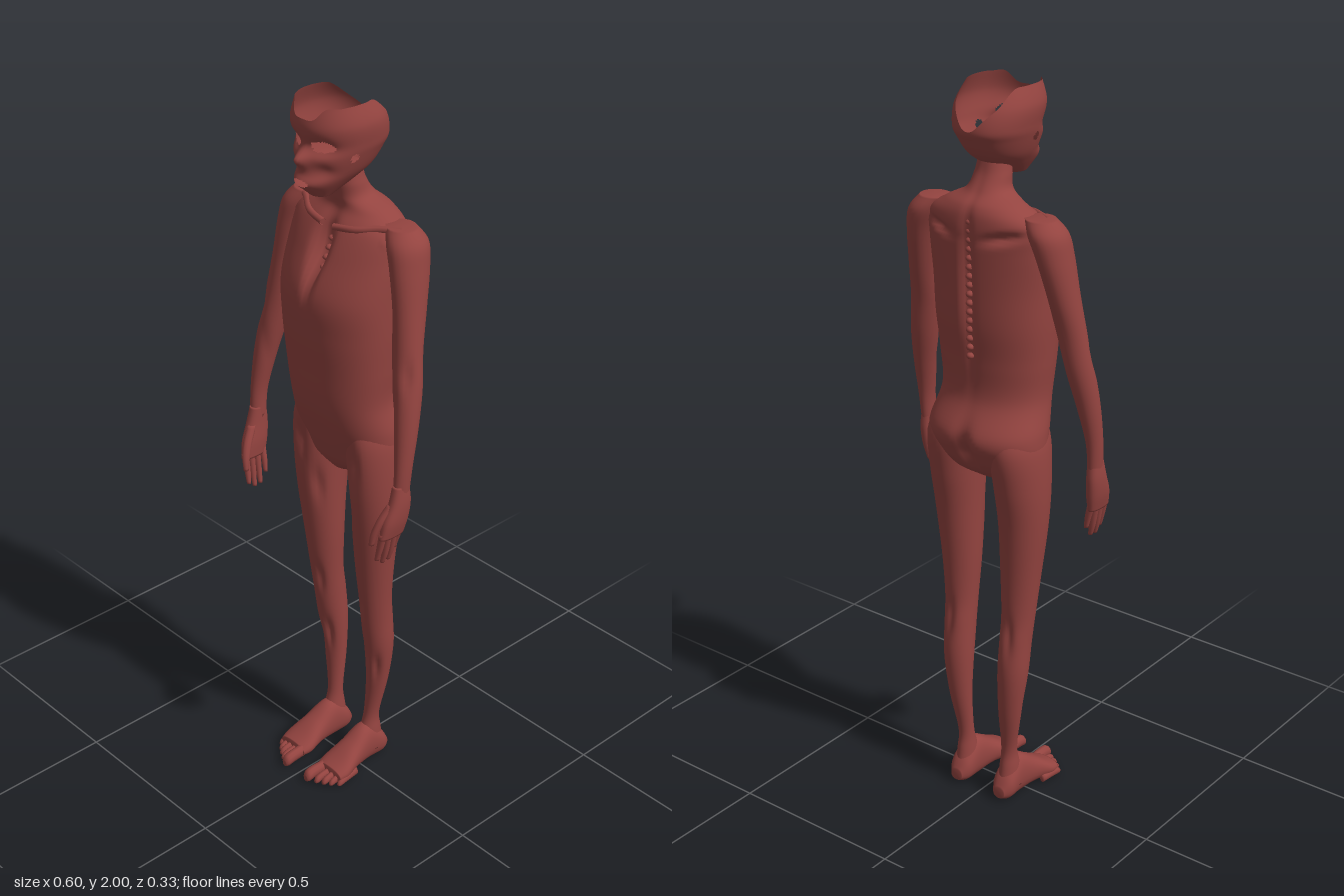
import * as THREE from 'three';

const skin = new THREE.MeshStandardMaterial({ color: 0x944440, side: THREE.DoubleSide });

// Catmull-Rom sample of a list of section rows at u in 0..1
function sample(rows, u) {
  const f = Math.min(Math.max(u, 0), 1) * (rows.length - 1);
  const i = Math.min(Math.floor(f), rows.length - 2), t = f - i;
  const at = k => rows[Math.min(Math.max(k, 0), rows.length - 1)];
  return rows[i].map((b, k) => {
    const a = at(i - 1)[k], c = at(i + 1)[k], d = at(i + 2)[k];
    return b + 0.5 * t * (c - a + t * (2 * a - 5 * b + 4 * c - d + t * (3 * (b - c) + d - a)));
  });
}

// Skins oval sections [along, centreX, radiusX, high, low].
// The axis is y (high/low = front/back z) or, with alongZ, z (high/low = top/bottom y).
function loft(name, rows, { seg = 24, steps = 6, side = 1, alongZ = false, open = false,
  power = 1, rim = () => 1, warp = null, skip = null } = {}) {
  const n = (rows.length - 1) * steps, pos = [], index = [], p = new THREE.Vector3();
  const soft = v => Math.sign(v) * Math.abs(v) ** power;
  const axis = new THREE.Vector3();
  for (let i = -1; i <= n + 1; i++) {
    const cap = i < 0 || (i > n && !open) ? 0 : 1;
    for (let j = 0; j < seg; j++) {
      const t = j / seg * Math.PI * 2;
      const [h, cx, rx, hi, lo] = sample(rows, Math.min(i, n) / n * rim(t));
      const mid = (hi + lo) / 2;
      axis.set(cx, h, mid);
      p.set(cx + soft(Math.cos(t)) * rx * cap, h, mid + soft(Math.sin(t)) * (hi - lo) / 2 * cap);
      if (warp && cap) warp(p, axis);
      pos.push(p.x * side, alongZ ? p.z : p.y, alongZ ? p.y : p.z);
    }
  }
  const flip = (side < 0) !== alongZ;
  for (let i = 0; i <= n + 1; i++) for (let j = 0; j < seg; j++) {
    const k = (j + 1) % seg, a = i * seg + j, b = a + seg, c = i * seg + k, d = c + seg;
    if (skip && skip(...[0, 1, 2].map(q => (pos[a * 3 + q] + pos[d * 3 + q]) / 2))) continue;
    if (flip) index.push(a, c, b, b, c, d);
    else index.push(a, b, c, b, d, c);
  }
  const geo = new THREE.BufferGeometry();
  geo.setAttribute('position', new THREE.Float32BufferAttribute(pos, 3));
  geo.setIndex(index);
  geo.computeVertexNormals();
  const mesh = new THREE.Mesh(geo, skin);
  mesh.name = name;
  return mesh;
}

const bump = (d, r) => Math.exp(-(d * d) / (r * r));

// Presses long hollows [x, y, z, radius, depth] in towards the axis
const hollows = list => (p, axis) => {
  for (const [x, y, z, r, depth] of list) {
    const w = depth * bump(Math.hypot(p.x - x, (p.y - y) / 4, p.z - z), r);
    const d = Math.hypot(p.x - axis.x, p.z - axis.z) || 1;
    p.x -= (p.x - axis.x) / d * w;
    p.z -= (p.z - axis.z) / d * w;
  }
};

function torsoShape(p) {
  const ax = Math.abs(p.x);
  if (p.z > 0) {
    // open wound in the breastbone, wider at the top
    const w = 0.012 + 0.012 * THREE.MathUtils.smoothstep(p.y, 1.5, 1.66);
    p.z -= 0.045 * bump(ax, w) * bump(p.y - 1.6, 0.075);
    p.z -= 0.008 * bump(ax - 0.09, 0.03) * bump(p.y - 1.04, 0.05);
  } else {
    // spine furrow, shoulder blade slots and buttock cleft
    p.z += 0.02 * bump(ax, 0.014) * bump(p.y - 1.5, 0.17);
    p.z += 0.018 * bump(p.y - 1.645 - (ax - 0.1) * 0.2, 0.012) * bump(ax - 0.1, 0.045);
    p.z += 0.03 * bump(ax, 0.025) * bump(p.y - 1.05, 0.07);
  }
}

function addHead(g) {
  // hollow skull, broken open at the top and back, with holes for eyes, mouth and ears
  g.add(loft('head', [
    [1.765, 0, 0.03, 0.09, 0.03], [1.80, 0, 0.056, 0.122, -0.045], [1.83, 0, 0.075, 0.12, -0.09],
    [1.87, 0, 0.091, 0.12, -0.118], [1.90, 0, 0.099, 0.114, -0.13], [1.95, 0, 0.104, 0.12, -0.115],
    [2.0, 0, 0.088, 0.108, -0.075],
  ], {
    seg: 120, steps: 10, open: true, power: 0.9,
    rim: t => {
      const s = Math.sin(t);
      return Math.min(1, 1 - (s > 0 ? 0.13 * s ** 8 : 0.33 * s ** 4) + 0.015 * Math.sin(9 * t) * Math.abs(s));
    },
    warp: p => {
      if (p.z < 0.04) return;
      const ax = Math.abs(p.x);
      p.z += 0.024 * bump(ax, 0.016) * bump(p.y - 1.868, 0.02);
      p.z += 0.01 * bump(ax, 0.035) * bump(p.y - 1.81, 0.02);
      p.z -= 0.016 * bump(ax - 0.045, 0.03) * bump(p.y - 1.9, 0.02);
      p.z -= 0.012 * bump(ax - 0.05, 0.02) * bump(p.y - 1.84, 0.02);
    },
    skip: (x, y, z) => {
      const ax = Math.abs(x);
      const eye = z > 0.05 && Math.hypot((ax - 0.045) / 0.027, (y - 1.902) / 0.014) < 1;
      const mouth = z > 0.05 && Math.hypot(x / 0.024, (y - 1.808) / 0.01) < 1;
      const ear = ax > 0.05 && Math.hypot(z - 0.03, y - 1.87) < 0.011;
      return eye || mouth || ear;
    },
  }));
}

function addTorso(g) {
  g.add(loft('torsoAndNeck', [
    [0.965, 0, 0.04, 0.01, -0.07], [1.0, 0, 0.12, 0.035, -0.115], [1.05, 0, 0.163, 0.055, -0.15],
    [1.11, 0, 0.168, 0.075, -0.167], [1.2, 0, 0.154, 0.097, -0.122], [1.3, 0, 0.163, 0.107, -0.122],
    [1.4, 0, 0.172, 0.115, -0.133], [1.5, 0, 0.176, 0.114, -0.136], [1.6, 0, 0.178, 0.075, -0.137],
    [1.67, 0, 0.17, 0.04, -0.136], [1.71, 0, 0.115, 0.012, -0.125], [1.74, 0, 0.06, 0.012, -0.095],
    [1.78, 0, 0.047, 0.018, -0.07], [1.82, 0, 0.04, 0.02, -0.06],
  ], { seg: 112, steps: 8, power: 0.92, warp: torsoShape }));

  // exposed vertebrae down the back and bone showing in the chest wound
  const bone = new THREE.IcosahedronGeometry(1, 1);
  const addBone = (name, y, z, r) => {
    const m = new THREE.Mesh(bone, skin);
    m.name = name;
    m.position.set(0, y, z);
    m.scale.set(r, r * 0.8, r);
    g.add(m);
  };
  for (let i = 0; i < 16; i++) addBone('vertebra', 1.32 + i * 0.0235, -0.122, 0.011);
  for (let i = 0; i < 6; i++) addBone('breastBone', 1.54 + i * 0.023, 0.062 - i * 0.01, 0.01);

  for (const s of [1, -1]) {
    const path = new THREE.CatmullRomCurve3([[0.02, 1.672, 0.036], [0.08, 1.68, 0.024],
      [0.13, 1.688, -0.01], [0.18, 1.69, -0.04]].map(([x, y, z]) => new THREE.Vector3(x * s, y, z)));
    const m = new THREE.Mesh(new THREE.TubeGeometry(path, 16, 0.009, 8), skin);
    m.name = 'collarBone';
    g.add(m);
  }
}

function addArm(g, side) {
  g.add(loft('arm', [
    [1.02, 0.276, 0.018, 0.066, 0.018], [1.1, 0.277, 0.021, 0.061, 0.01], [1.2, 0.268, 0.03, 0.052, -0.012],
    [1.3, 0.253, 0.037, 0.04, -0.035], [1.4, 0.236, 0.039, 0.026, -0.05], [1.5, 0.222, 0.039, 0.016, -0.075],
    [1.6, 0.205, 0.043, 0.012, -0.1], [1.66, 0.188, 0.048, 0.005, -0.108], [1.697, 0.165, 0.04, -0.015, -0.09],
  ], { side, warp: hollows([[0.27, 1.33, 0.02, 0.012, 0.01], [0.25, 1.25, 0.03, 0.012, 0.008]]) }));
  g.add(loft('palm', [
    [0.905, 0.27, 0.014, 0.108, 0.028], [0.95, 0.274, 0.02, 0.1, 0.018], [1.0, 0.277, 0.02, 0.08, 0.014],
    [1.05, 0.276, 0.017, 0.066, 0.02],
  ], { side, power: 0.85 }));
  // four fingers curling inwards, then the thumb
  [0.835, 0.82, 0.822, 0.85].forEach((tip, i) => {
    const z = 0.097 - i * 0.02, end = z + 0.004;
    g.add(loft('finger', [
      [tip, 0.252, 0.006, end + 0.006, end - 0.006], [tip + 0.035, 0.26, 0.009, z + 0.01, z - 0.007],
      [0.92, 0.27, 0.011, z + 0.01, z - 0.01],
    ], { side, seg: 10, steps: 4 }));
  });
  g.add(loft('thumb', [
    [0.885, 0.246, 0.007, 0.122, 0.108], [0.92, 0.252, 0.01, 0.12, 0.098],
    [0.96, 0.262, 0.012, 0.106, 0.08], [1.0, 0.272, 0.012, 0.08, 0.055],
  ], { side, seg: 10, steps: 4 }));
}

function addLeg(g, side) {
  g.add(loft('leg', [
    [0.04, 0.075, 0.033, -0.005, -0.095], [0.1, 0.075, 0.026, -0.02, -0.085], [0.16, 0.076, 0.022, -0.035, -0.079],
    [0.28, 0.086, 0.033, -0.037, -0.097], [0.4, 0.093, 0.042, -0.022, -0.106], [0.5, 0.095, 0.043, -0.008, -0.1],
    [0.58, 0.097, 0.046, 0.002, -0.091], [0.7, 0.1, 0.055, 0.016, -0.093], [0.85, 0.106, 0.065, 0.033, -0.106],
    [0.97, 0.106, 0.07, 0.045, -0.128], [1.08, 0.1, 0.07, 0.052, -0.145], [1.15, 0.09, 0.055, 0.045, -0.12],
  ], {
    side, seg: 40, warp: hollows([[0.075, 0.36, -0.03, 0.012, 0.012], [0.115, 0.33, -0.035, 0.012, 0.01],
      [0.08, 0.55, 0, 0.012, 0.01], [0.1, 0.52, -0.095, 0.014, 0.01], [0.1, 1.02, 0.05, 0.015, 0.015],
      [0.06, 0.88, 0.02, 0.012, 0.012]]),
  }));
  g.add(loft('foot', [
    [-0.105, 0.075, 0.018, 0.045, 0.012], [-0.08, 0.075, 0.033, 0.085, 0.002], [-0.03, 0.074, 0.035, 0.122, 0],
    [0.03, 0.076, 0.042, 0.09, 0.004], [0.08, 0.077, 0.052, 0.058, 0.002], [0.11, 0.077, 0.047, 0.042, 0.006],
  ], { side, alongZ: true, power: 0.9 }));
  // toes from big to small, as [x, tip z, radius]
  for (const [x, tip, r] of [[0.045, 0.17, 0.015], [0.07, 0.156, 0.009], [0.089, 0.145, 0.009],
    [0.106, 0.133, 0.008], [0.123, 0.117, 0.008]]) {
    g.add(loft('toe', [
      [tip - 0.075, x * 0.9 + 0.007, r, r * 2 + 0.012, 0.004], [tip - 0.03, x, r, r * 2 + 0.012, 0.005],
      [tip - 0.008, x, r * 0.95, r * 2 + 0.006, 0.002], [tip, x, r * 0.5, r * 1.5, 0.005],
    ], { side, alongZ: true, seg: 10, steps: 4 }));
  }
}

export function createModel() {
  const figure = new THREE.Group();
  figure.name = 'figure';
  const part = (name, build, ...args) => {
    const g = new THREE.Group();
    g.name = name;
    build(g, ...args);
    figure.add(g);
  };
  part('headGroup', addHead);
  part('body', addTorso);
  for (const [name, side] of [['left', 1], ['right', -1]]) {
    part(name + 'Arm', addArm, side);
    part(name + 'Leg', addLeg, side);
  }
  return figure;
}
